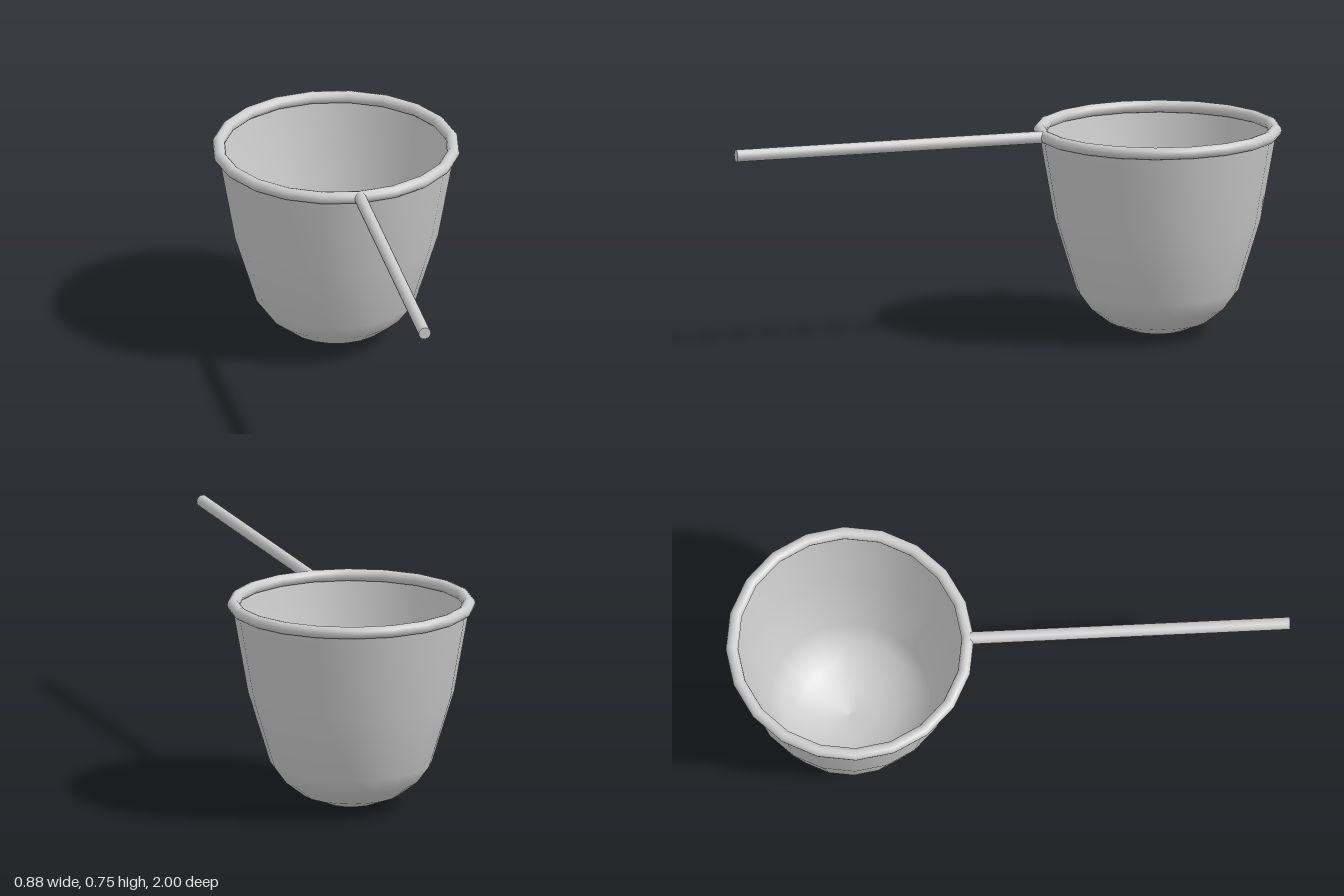
import * as THREE from 'three';

export function createModel() {
  const model = new THREE.Group();
  const grey = new THREE.MeshStandardMaterial({ color: 0xcccccc });
  const thin = new THREE.MeshStandardMaterial({ color: 0xcccccc, side: THREE.DoubleSide });

  const rimY = 0.732, hoopZ = -0.56, hoopRadius = 0.418, tube = 0.022, segments = 20;

  function add(name, geometry, material, y, z) {
    const mesh = new THREE.Mesh(geometry, material);
    mesh.name = name;
    mesh.position.set(0, y, z);
    model.add(mesh);
  }

  // Open bag hanging from the hoop, with a rounded bottom
  const profile = [
    [0, 0], [0.095, 0.014], [0.175, 0.045], [0.243, 0.097],
    [0.287, 0.157], [0.365, 0.41], [0.422, rimY],
  ].map(([r, y]) => new THREE.Vector2(r, y));
  add('bag', new THREE.LatheGeometry(profile, segments), thin, 0, hoopZ);

  // Hoop around the bag's mouth
  const hoop = new THREE.TorusGeometry(hoopRadius, tube, 12, segments).rotateX(Math.PI / 2);
  add('hoop', hoop, grey, rimY, hoopZ);

  // Straight handle from the hoop towards the front
  const start = hoopZ + hoopRadius, end = 1;
  const handle = new THREE.CylinderGeometry(tube, tube, end - start, 16).rotateX(Math.PI / 2);
  add('handle', handle, grey, rimY, (start + end) / 2);

  return model;
}
